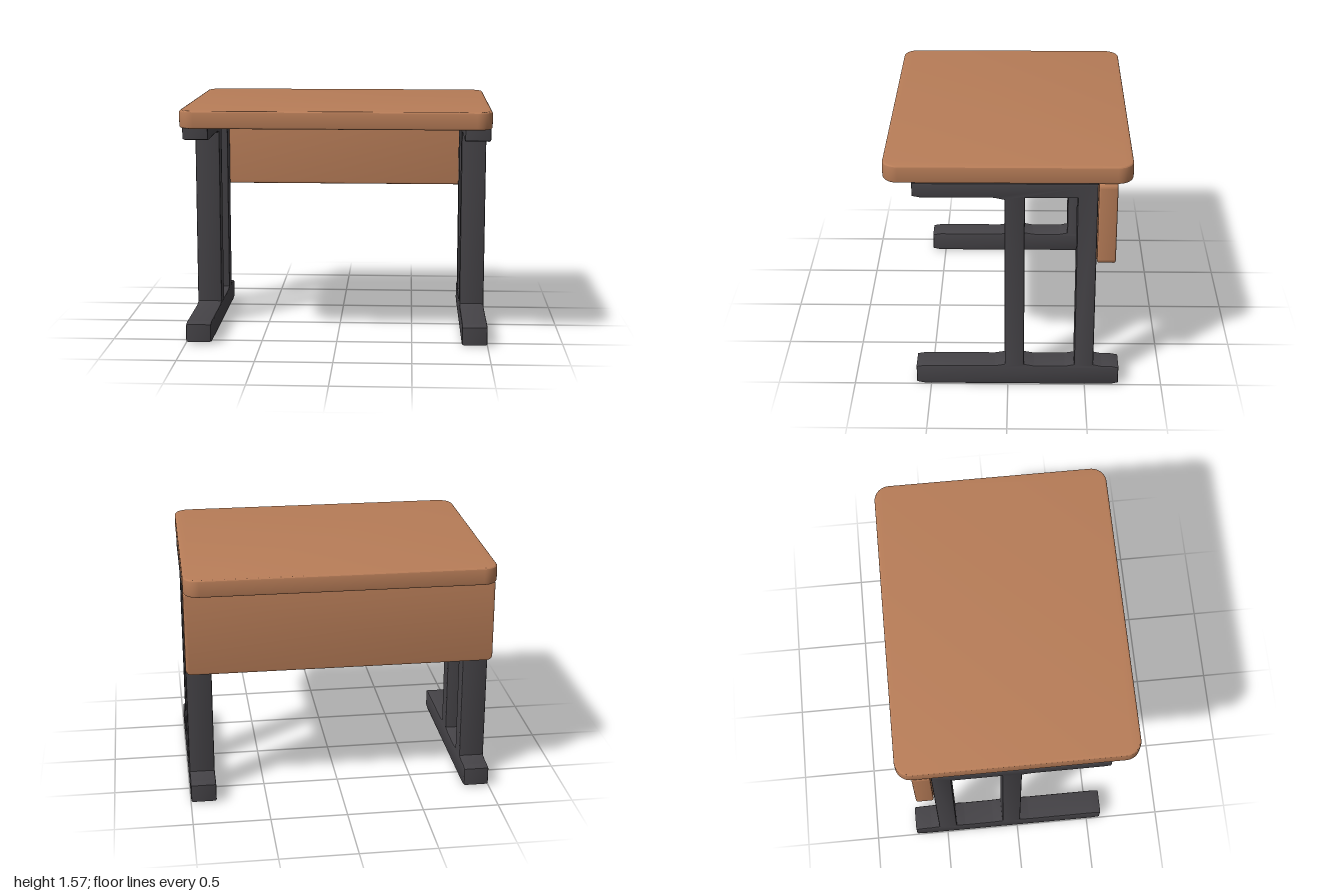
import * as THREE from 'three';
import { toCreasedNormals } from 'three/addons/utils/BufferGeometryUtils.js';

const wood = new THREE.MeshStandardMaterial({ color: 0xb87d58 });
const metal = new THREE.MeshStandardMaterial({ color: 0x454347 });

// Bevelled extrusion of a shape, centred in depth, keeping the drawn outline size
function extrude(shape, depth, bevel, segments) {
  const geometry = new THREE.ExtrudeGeometry(shape, {
    depth: depth - 2 * bevel,
    bevelSize: bevel,
    bevelThickness: bevel,
    bevelOffset: -bevel,
    bevelSegments: segments,
    curveSegments: 8,
  });
  geometry.translate(0, 0, -depth / 2 + bevel);
  return toCreasedNormals(geometry, 0.4);
}

function roundedRect(w, h, r) {
  const x = w / 2, y = h / 2;
  const s = new THREE.Shape();
  s.absarc(x - r, y - r, r, 0, Math.PI / 2);
  s.absarc(-x + r, y - r, r, Math.PI / 2, Math.PI);
  s.absarc(-x + r, -y + r, r, Math.PI, Math.PI * 1.5);
  s.absarc(x - r, -y + r, r, Math.PI * 1.5, Math.PI * 2);
  s.closePath();
  return s;
}

function addMesh(group, name, geometry, material, x, y, z) {
  const mesh = new THREE.Mesh(geometry, material);
  mesh.name = name;
  mesh.position.set(x, y, z);
  group.add(mesh);
}

const points = (list) => list.map(([z, y]) => new THREE.Vector2(z, y));

export function createModel() {
  const desk = new THREE.Group();
  desk.name = 'desk';

  // Tabletop with rounded corners
  const top = extrude(roundedRect(2, 1.545, 0.1), 0.115, 0.015, 3);
  top.rotateX(-Math.PI / 2);
  addMesh(desk, 'tabletop', top, wood, 0, 1.5125, 0);

  // Modesty panel across the back
  const panel = extrude(roundedRect(2, 0.562, 0.035), 0.118, 0.014, 3);
  addMesh(desk, 'backPanel', panel, wood, 0, 1.178, -0.618);

  // Side frame profile (z, y): foot, two posts and top rail with chamfered ends
  const profile = new THREE.Shape(points([
    [0.595, 0.012], [0.54, 0], [-0.67, 0], [-0.72, 0.012],
    [-0.72, 0.13], [-0.67, 0.14], [-0.61, 0.14], [-0.555, 0.152],
    [-0.555, 1.455], [0.59, 1.455], [0.59, 1.366], [0.54, 1.356],
    [0.085, 1.356], [0.02, 1.342], [0.02, 0.152], [0.085, 0.14],
    [0.54, 0.14], [0.595, 0.13],
  ]));

  // Opening between the posts, wound opposite to the outline
  profile.holes.push(new THREE.Path(points([
    [-0.105, 1.356], [-0.43, 1.356], [-0.43, 0.152],
    [-0.37, 0.14], [-0.17, 0.14], [-0.105, 0.152],
  ])));

  const frame = extrude(profile, 0.167, 0.01, 2);
  frame.rotateY(-Math.PI / 2);
  addMesh(desk, 'leftFrame', frame, metal, 0.9145, 0, 0);
  addMesh(desk, 'rightFrame', frame, metal, -0.9145, 0, 0);

  return desk;
}
